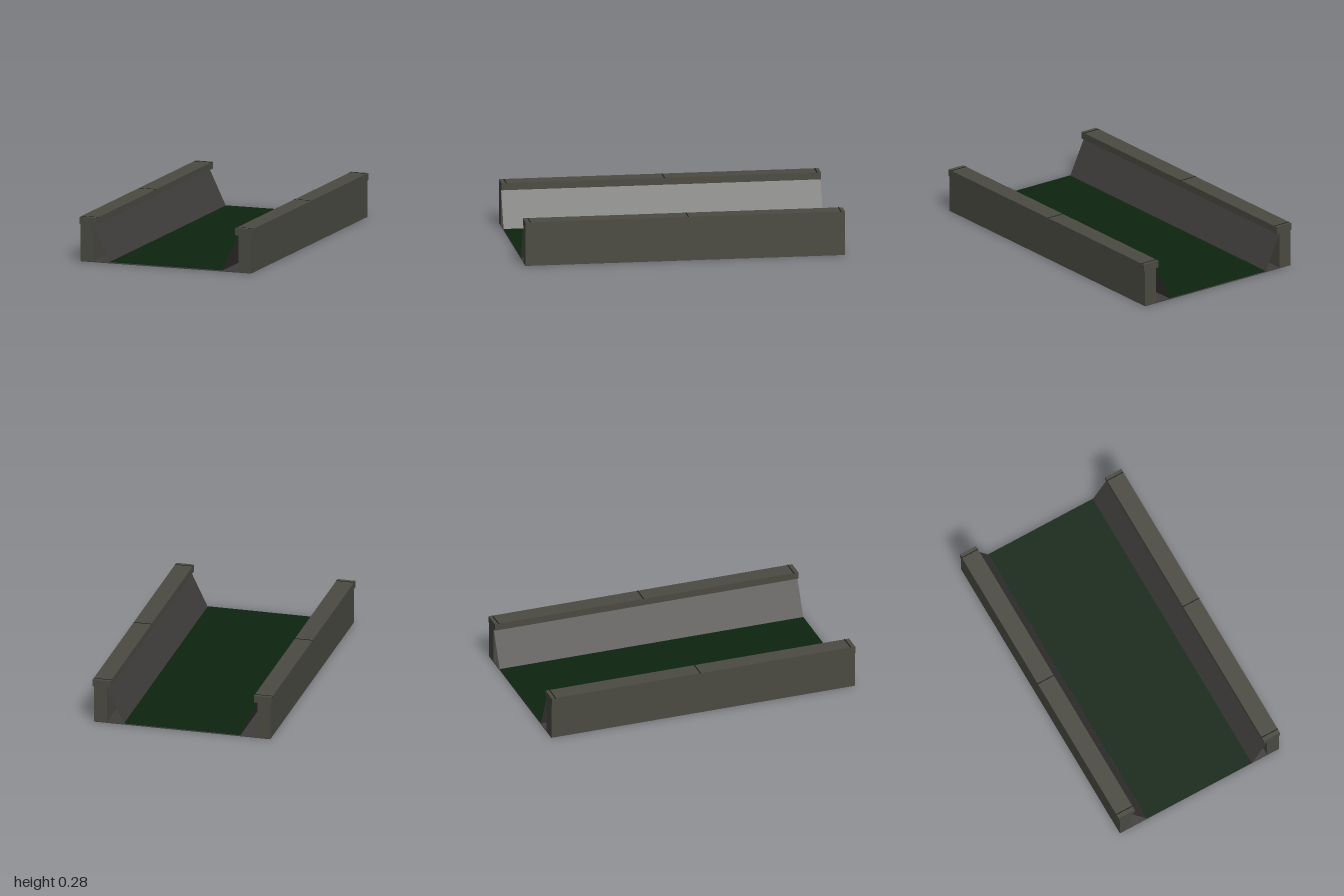
import * as THREE from 'three';

export function createModel() {
  const model = new THREE.Group();
  model.name = 'canalSection';

  const material = (name, color, side = THREE.FrontSide) =>
    Object.assign(new THREE.MeshStandardMaterial({ color, side }), { name });
  const stone = material('stone', 0x4a4a42);
  const concrete = material('concrete', 0x403e3c, THREE.DoubleSide);
  const water = material('dark green water', 0x0d240f);
  const joint = material('joint', 0x0e1a10);

  const LENGTH = 2;

  // Box given by its x and y limits, its length and its place along z
  function box(name, mat, x0, x1, y0, y1, length = LENGTH, z = 0) {
    const mesh = new THREE.Mesh(new THREE.BoxGeometry(Math.abs(x1 - x0), y1 - y0, length), mat);
    mesh.name = name;
    mesh.position.set((x0 + x1) / 2, (y0 + y1) / 2, z);
    model.add(mesh);
  }

  // Channel bed and water sheet
  box('floor', concrete, -0.565, 0.565, 0, 0.004);
  box('water', water, -0.372, 0.372, 0.0075, 0.0095);

  for (const [label, s] of [['left', 1], ['right', -1]]) {
    // Retaining wall with overhanging coping
    box(label + 'Wall', stone, s * 0.482, s * 0.566, 0.001, 0.235);
    box(label + 'Coping', stone, s * 0.46, s * 0.574, 0.235, 0.279);

    // Thin joints across the coping
    for (const z of [-0.975, -0.02, 0.97]) {
      box(label + 'CopingJoint', joint, s * 0.459, s * 0.5745, 0.278, 0.28, 0.006, z);
    }

    // Sloped bank: an open sheet from the water's edge up to the wall
    const foot = new THREE.Vector2(s * 0.372, 0.004);
    const head = new THREE.Vector2(s * 0.481, 0.232);
    const across = head.clone().sub(foot);
    const sheet = new THREE.PlaneGeometry(across.length(), LENGTH);
    sheet.rotateX(-Math.PI / 2).rotateZ(across.angle());
    const bank = new THREE.Mesh(sheet, concrete);
    bank.name = label + 'Bank';
    bank.position.set((foot.x + head.x) / 2, (foot.y + head.y) / 2, 0);
    model.add(bank);
  }
  return model;
}
